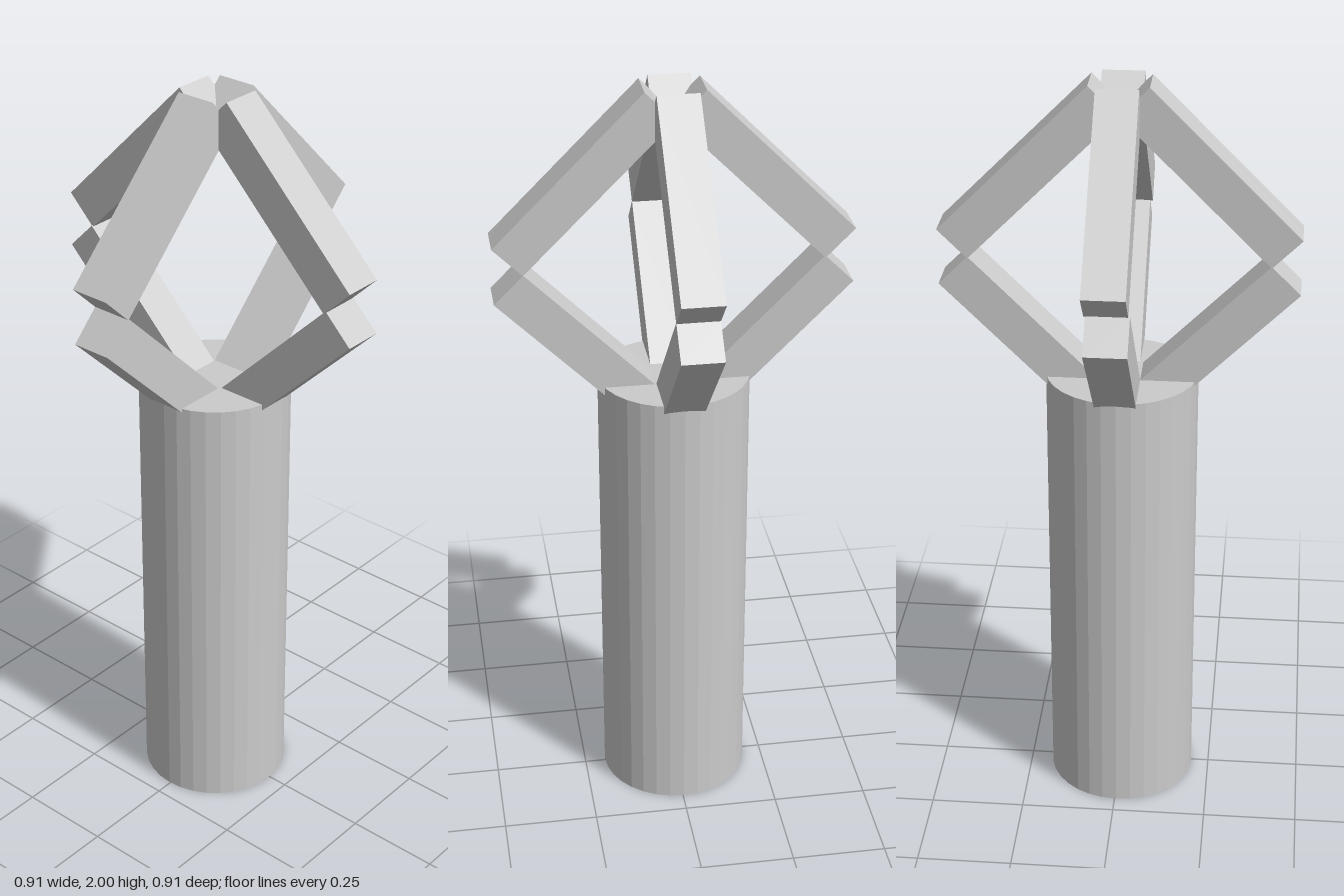
import * as THREE from 'three';

export function createModel() {
  const model = new THREE.Group();
  const material = new THREE.MeshStandardMaterial({ color: 0xcccccc, flatShading: true });

  // Round handle
  const handle = new THREE.Mesh(new THREE.CylinderGeometry(0.197, 0.197, 1.225, 32), material);
  handle.name = 'handle';
  handle.position.set(-0.005, 0.6125, -0.003);
  model.add(handle);

  // Square bars tilted 45 degrees: four arms bend outward, then back in to the tip
  const thickness = 0.106, length = 0.537;
  const bar = new THREE.BoxGeometry(length, thickness, thickness);
  const arms = [
    { name: 'left', turn: 0, lower: [0, -0.003], upper: [0, -0.003] },
    { name: 'back', turn: Math.PI / 2, lower: [-0.002, 0], upper: [0.002, 0] },
    { name: 'right', turn: Math.PI, lower: [0, -0.003], upper: [0, -0.003] },
    { name: 'front', turn: -Math.PI / 2, lower: [0.006, 0], upper: [-0.001, 0] },
  ];
  for (const { name, turn, lower, upper } of arms) {
    for (const [part, y, tilt, [x, z]] of [
      ['Lower', 1.3225, Math.PI / 4, lower],
      ['Upper', 1.7725, -Math.PI / 4, upper],
    ]) {
      const arm = new THREE.Group();
      arm.name = `${name}${part}Arm`;
      const mesh = new THREE.Mesh(bar, material);
      mesh.name = `${name}${part}Bar`;
      mesh.position.set(0.2275, y, 0);
      mesh.rotation.z = tilt;
      arm.add(mesh);
      arm.rotation.y = turn;
      arm.position.set(x, 0, z);
      model.add(arm);
    }
  }
  return model;
}
